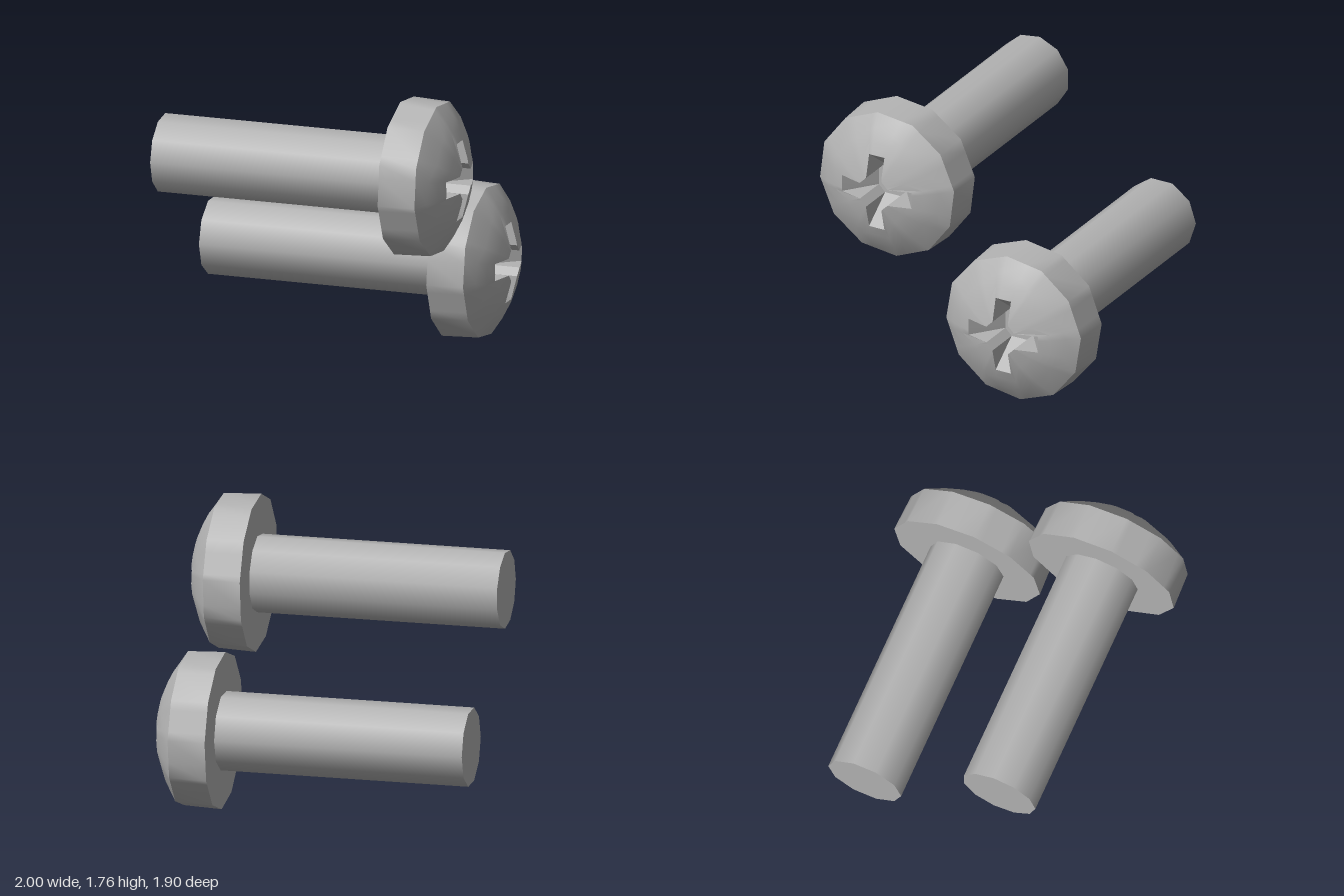
import * as THREE from 'three';
import { toCreasedNormals } from 'three/addons/utils/BufferGeometryUtils.js';

const SIDES = 12, STEP = (2 * Math.PI) / SIDES;
const HEAD_R = 0.498, RIM_R = 0.488;
const ARM = 0.25, HALF = 0.055, CORE = 0.1;   // cross recess: reach, half width, floor half size
const FLOOR_X = 0.76;

const domeX = (r) => 1.006 - 0.176 * (r / RIM_R) ** 2;

// radius of a regular polygon at an angle
function polygonRadius(angle, radius, phase) {
  const a = angle - phase;
  const local = a - Math.floor(a / STEP) * STEP - STEP / 2;
  return radius * Math.cos(STEP / 2) / Math.cos(local);
}

// radius of the cross outline at an angle
function crossRadius(angle) {
  const q = Math.PI / 2;
  const a = Math.abs(angle - Math.round(angle / q) * q);
  if (a <= Math.atan2(HALF, ARM) + 1e-6) return ARM / Math.cos(a);
  if (a <= Math.atan2(HALF, CORE) + 1e-6) return HALF / Math.sin(a);
  return (HALF + CORE) / (Math.cos(a) + Math.sin(a));
}

// head: rings swept from the flat back, over the dome, down into the recess
function headGeometry(phase) {
  const angles = [];
  for (let i = 0; i < SIDES; i++) angles.push(phase + i * STEP);
  for (let k = 0; k < 4; k++) {
    for (const a of [Math.atan2(HALF, ARM), Math.atan2(HALF, CORE)]) {
      angles.push(k * Math.PI / 2 + a, (k + 1) * Math.PI / 2 - a);
    }
  }
  angles.sort((a, b) => a - b);

  const at = (x, r, a) => new THREE.Vector3(x, r * Math.cos(a), r * Math.sin(a));
  const ring = (fn) => angles.map(fn);
  const rings = [
    ring(() => new THREE.Vector3(0.59, 0, 0)),
    ring((a) => at(0.59, polygonRadius(a, HEAD_R, phase), a)),
    ring((a) => at(0.83, polygonRadius(a, RIM_R, phase), a)),
  ];
  for (const t of [0.35, 0.7, 1]) {
    rings.push(ring((a) => {
      const r = THREE.MathUtils.lerp(polygonRadius(a, RIM_R, phase), crossRadius(a), t);
      return at(domeX(r), r, a);
    }));
  }
  const outline = rings[rings.length - 1];
  const clamp = (v) => THREE.MathUtils.clamp(v, -CORE, CORE);
  rings.push(outline.map((p) => new THREE.Vector3(FLOOR_X, clamp(p.y), clamp(p.z))));
  rings.push(ring(() => new THREE.Vector3(FLOOR_X, 0, 0)));

  const pos = [];
  const tri = (a, b, c) => {
    const area = b.clone().sub(a).cross(c.clone().sub(a)).length();
    if (area > 1e-7) for (const p of [a, b, c]) pos.push(p.x, p.y, p.z);
  };
  for (let j = 0; j < rings.length - 1; j++) {
    for (let i = 0; i < angles.length; i++) {
      const n = (i + 1) % angles.length;
      tri(rings[j][i], rings[j][n], rings[j + 1][n]);
      tri(rings[j][i], rings[j + 1][n], rings[j + 1][i]);
    }
  }
  const geo = new THREE.BufferGeometry();
  geo.setAttribute('position', new THREE.Float32BufferAttribute(pos, 3));
  return toCreasedNormals(geo, THREE.MathUtils.degToRad(38));
}

function makeScrew(name, material, phase, shaftSides) {
  const screw = new THREE.Group();
  screw.name = name;

  const head = new THREE.Mesh(headGeometry(phase), material);
  head.name = 'head';

  // plain shaft along x
  const shaftGeo = new THREE.CylinderGeometry(0.248, 0.248, 1.6, shaftSides);
  shaftGeo.rotateZ(Math.PI / 2);
  const shaft = new THREE.Mesh(shaftGeo, material);
  shaft.name = 'shaft';
  shaft.position.x = -0.2;

  screw.add(head, shaft);
  return screw;
}

export function createModel() {
  const steel = new THREE.MeshStandardMaterial({ color: 0xb3b3b3 });
  steel.name = 'steel grey';

  const model = new THREE.Group();
  model.name = 'screws';

  const upper = makeScrew('upperScrew', steel, 0.14, 11);
  upper.position.set(0, 1.27, 0.458);
  const lower = makeScrew('lowerScrew', steel, 0.1, 10);
  lower.position.set(0, 0.498, -0.455);

  model.add(upper, lower);
  return model;
}
